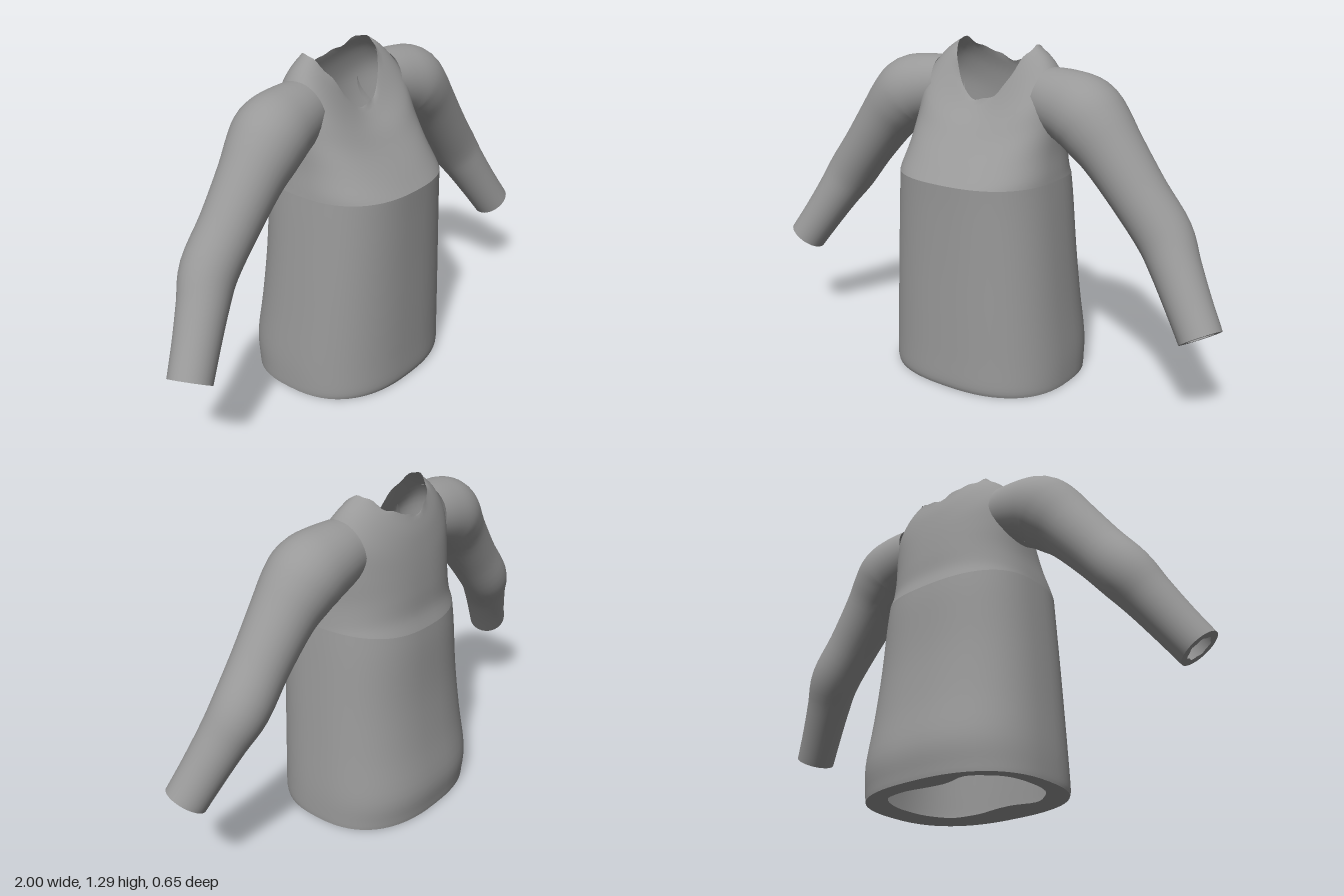
import * as THREE from 'three';

const SEG = 64;

// Skin a list of closed rings (each an array of Vector3) into one smooth surface.
function loft(rings) {
  const n = rings[0].length, pos = [], idx = [];
  rings.forEach(r => r.forEach(p => pos.push(p.x, p.y, p.z)));
  for (let i = 0; i < rings.length - 1; i++) {
    for (let j = 0; j < n; j++) {
      const k = (j + 1) % n;
      const a = i * n + j, b = i * n + k, c = a + n, d = b + n;
      idx.push(a, b, d, a, d, c);
    }
  }
  const g = new THREE.BufferGeometry();
  g.setAttribute('position', new THREE.Float32BufferAttribute(pos, 3));
  g.setIndex(idx);
  g.computeVertexNormals();
  return g;
}

// Rounded-oblong ring whose height differs at front, side and back.
function bodyRing([w, zf, zb, yf, ys, yb, e], ragged = 0) {
  const mid = (zf + zb) / 2, half = (zf - zb) / 2, ring = [];
  for (let j = 0; j < SEG; j++) {
    const a = j / SEG * Math.PI * 2, s = Math.sin(a), c = Math.cos(a);
    const y = ys + ((c > 0 ? yf : yb) - ys) * c * c;
    const wob = ragged * (Math.sin(a * 7 + 1) + Math.sin(a * 13) * 0.7);
    ring.push(new THREE.Vector3(
      Math.sign(s) * Math.abs(s) ** (2 / e) * w, y + wob,
      mid + Math.sign(c) * Math.abs(c) ** (2 / e) * half));
  }
  return ring;
}

// Insert smooth in-between rows in a table of numbers.
function refine(rows, steps) {
  const out = [], cr = (a, b, c, d, t) => {
    const m0 = (c - a) / 2, m1 = (d - b) / 2, t2 = t * t, t3 = t2 * t;
    return (2 * t3 - 3 * t2 + 1) * b + (t3 - 2 * t2 + t) * m0 + (3 * t2 - 2 * t3) * c + (t3 - t2) * m1;
  };
  for (let i = 0; i < rows.length - 1; i++) {
    const a = rows[Math.max(i - 1, 0)], b = rows[i], c = rows[i + 1], d = rows[Math.min(i + 2, rows.length - 1)];
    for (let s = 0; s < steps; s++) out.push(b.map((v, k) => cr(a[k], v, c[k], d[k], s / steps)));
  }
  out.push(rows[rows.length - 1]);
  return out;
}

export function createModel() {
  const model = new THREE.Group();
  model.name = 'longSleevedTop';
  const cloth = new THREE.MeshStandardMaterial({ color: 0x999999, side: THREE.DoubleSide });
  cloth.name = 'grey cloth';
  const add = (parent, name, geometry) => {
    const m = new THREE.Mesh(geometry, cloth);
    m.name = name;
    parent.add(m);
  };

  // Skirt of the body: half width, front z, back z, front / side / back height, squareness
  const lower = [
    [0.372, 0.312, -0.310, 0.00, 0.00, 0.00, 2.5],
    [0.373, 0.320, -0.314, 0.03, 0.03, 0.03, 2.5],
    [0.370, 0.320, -0.322, 0.13, 0.13, 0.13, 2.5],
    [0.357, 0.320, -0.295, 0.30, 0.30, 0.30, 2.5],
    [0.342, 0.320, -0.272, 0.50, 0.50, 0.50, 2.5],
    [0.326, 0.322, -0.262, 0.70, 0.70, 0.70, 2.5],
    [0.316, 0.325, -0.255, 0.81, 0.81, 0.78, 2.5],
  ];
  add(model, 'lowerBody', loft(refine(lower, 4).map(r => bodyRing(r))));

  // Chest, shoulders and ragged neckline
  const upper = [
    [0.316, 0.325, -0.255, 0.81, 0.81, 0.78, 2.5],
    [0.312, 0.308, -0.236, 0.83, 0.84, 0.84, 2.5],
    [0.302, 0.265, -0.230, 0.88, 0.92, 0.92, 2.4],
    [0.300, 0.205, -0.222, 0.945, 1.03, 1.00, 2.3],
    [0.290, 0.160, -0.212, 0.995, 1.15, 1.07, 2.2],
    [0.235, 0.115, -0.198, 1.040, 1.235, 1.14, 2.1],
    [0.170, 0.080, -0.178, 1.080, 1.285, 1.20, 2.0],
  ];
  const chest = refine(upper, 4).map(r => bodyRing(r));
  chest[chest.length - 1] = bodyRing(upper[upper.length - 1], 0.005);
  add(model, 'chestAndNeck', loft(chest));

  // Hem turned under, with an uneven opening pinched at the middle
  const hemEdge = bodyRing(lower[0]);
  const hemHole = hemEdge.map((p, j) => {
    const a = j / SEG * Math.PI * 2;
    const pinch = 0.76 - 0.16 * Math.abs(Math.cos(a)) ** 12 + 0.02 * Math.sin(a * 9);
    return new THREE.Vector3(p.x * 0.78, 0.012, p.z * pinch);
  });
  add(model, 'hem', loft([hemHole, hemEdge]));

  // Sleeve rows: centre x, y, z and radius, from shoulder to cuff
  const sleeveRows = refine([
    [0.23, 1.100, -0.035, 0.115],
    [0.31, 1.085, -0.030, 0.130],
    [0.395, 1.060, -0.022, 0.141],
    [0.455, 1.010, -0.015, 0.134],
    [0.525, 0.935, -0.010, 0.118],
    [0.635, 0.800, -0.008, 0.106],
    [0.735, 0.675, -0.008, 0.103],
    [0.800, 0.575, 0.020, 0.091],
    [0.870, 0.465, 0.053, 0.083],
    [0.935, 0.365, 0.083, 0.079],
  ], 4);
  const path = sleeveRows.map(r => new THREE.Vector3(r[0], r[1], r[2]));
  const sleeveRing = (i, radius, ragged = 0) => {
    const t = path[Math.min(i + 1, path.length - 1)].clone().sub(path[Math.max(i - 1, 0)]).normalize();
    const e1 = new THREE.Vector3(0, 0, 1).addScaledVector(t, -t.z).normalize();
    const e2 = new THREE.Vector3().crossVectors(t, e1);
    return Array.from({ length: 32 }, (_, j) => {
      const a = j / 32 * Math.PI * 2, r = radius * (1 + ragged * Math.sin(a * 7));
      return path[i].clone().addScaledVector(e1, Math.cos(a) * r).addScaledVector(e2, Math.sin(a) * r);
    });
  };
  const sleeveGeo = loft(sleeveRows.map((r, i) => sleeveRing(i, r[3])));
  const end = path.length - 1;
  const cuffGeo = loft([sleeveRing(end, 0.079), sleeveRing(end, 0.05, 0.07)]);

  for (const side of [1, -1]) {
    const arm = new THREE.Group();
    arm.name = side > 0 ? 'leftSleeve' : 'rightSleeve';
    arm.scale.x = side;
    add(arm, 'sleeve', sleeveGeo);
    add(arm, 'cuff', cuffGeo);
    model.add(arm);
  }
  return model;
}
